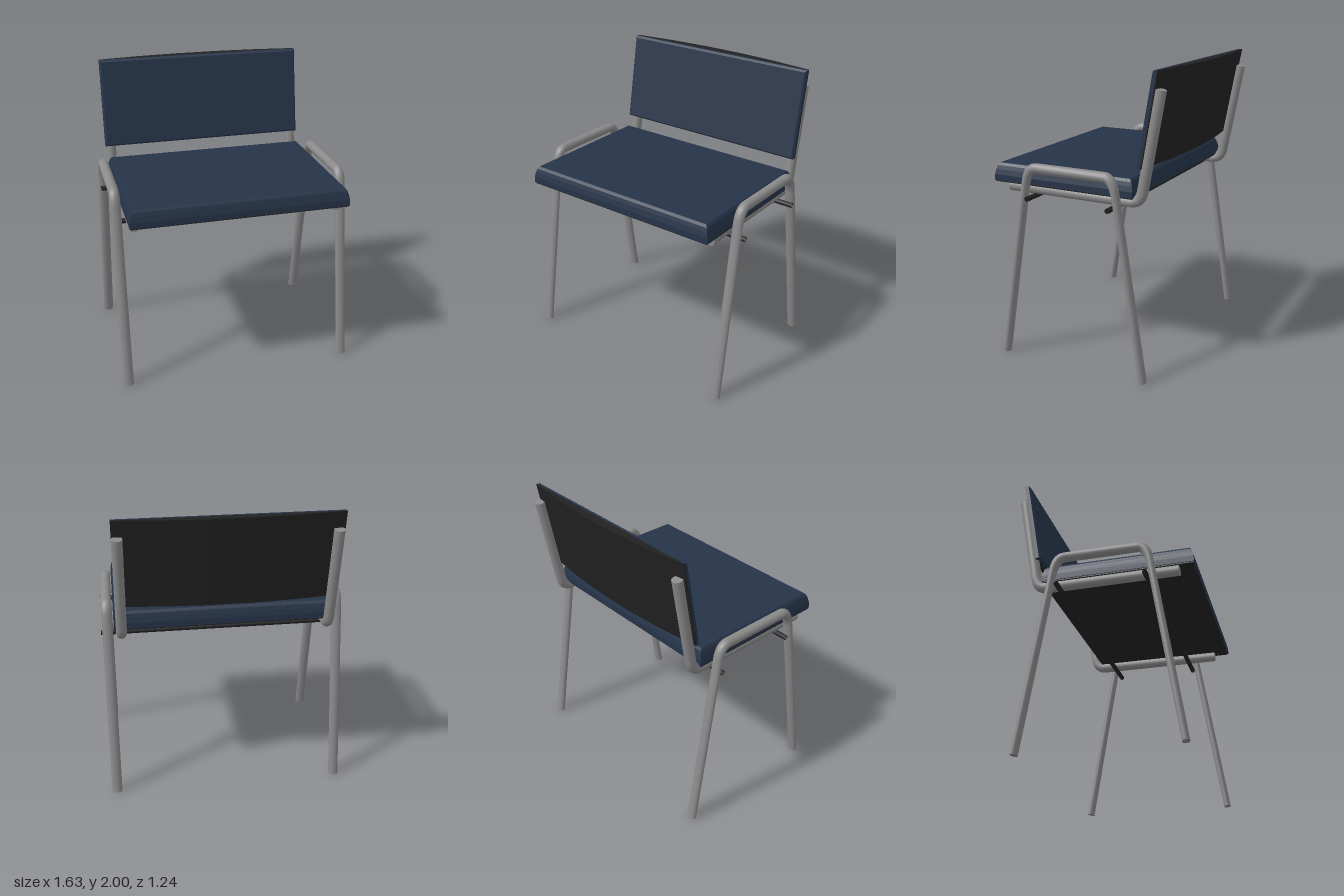
import * as THREE from 'three';

const navy = new THREE.MeshStandardMaterial({ color: 0x263449 });
navy.name = 'navy upholstery';
const black = new THREE.MeshStandardMaterial({ color: 0x222222, side: THREE.DoubleSide });
black.name = 'black plastic';
const grey = new THREE.MeshStandardMaterial({ color: 0x8a8a8a });
grey.name = 'grey steel';

const CENTRE = -0.007; // middle of the frame in x
const LEAN = 0.178; // backward lean of the backrest per unit of height

function add(parent, name, geometry, material, x = 0, y = 0, z = 0) {
  const mesh = new THREE.Mesh(geometry, material);
  mesh.name = name;
  mesh.position.set(x, y, z);
  parent.add(mesh);
  return mesh;
}

// Capped tube along a path of (z, y) points; depth(y) is its radius within the path's plane
function bentTube(path, width, depth, sides = 16) {
  const pts = path.getPoints(8);
  const pos = [], idx = [], rings = [];
  const ring = (i) => {
    const p = pts[i], dir = new THREE.Vector2();
    if (i > 0) dir.add(p.clone().sub(pts[i - 1]).normalize());
    if (i < pts.length - 1) dir.add(pts[i + 1].clone().sub(p).normalize());
    dir.normalize();
    const start = pos.length / 3, d = depth(p.y);
    for (let k = 0; k < sides; k++) {
      const a = (k / sides) * Math.PI * 2, n = Math.sin(a) * d;
      pos.push(Math.cos(a) * width, p.y + dir.x * n, p.x - dir.y * n);
    }
    return start;
  };
  pts.forEach((p, i) => rings.push(ring(i)));
  for (let i = 0; i < rings.length - 1; i++) {
    for (let k = 0; k < sides; k++) {
      const n = (k + 1) % sides;
      const a = rings[i] + k, b = rings[i] + n, c = rings[i + 1] + n, e = rings[i + 1] + k;
      idx.push(a, b, c, a, c, e);
    }
  }
  const first = ring(0), last = ring(pts.length - 1);
  for (let k = 1; k < sides - 1; k++) {
    idx.push(first, first + k + 1, first + k, last, last + k, last + k + 1);
  }
  const g = new THREE.BufferGeometry();
  g.setAttribute('position', new THREE.Float32BufferAttribute(pos, 3));
  g.setIndex(idx);
  g.computeVertexNormals();
  return g;
}

// Cushion facing +z, made from rectangles given as [inset, z]
function cushion(w, h, layers) {
  const pos = [], idx = [];
  for (const [inset, z] of layers) {
    const x = w / 2 - inset, y = h / 2 - inset;
    pos.push(-x, -y, z, x, -y, z, x, y, z, -x, y, z);
  }
  for (let i = 0; i < layers.length - 1; i++) {
    for (let k = 0; k < 4; k++) {
      const a = i * 4 + k, b = i * 4 + ((k + 1) % 4);
      idx.push(a, b, b + 4, a, b + 4, a + 4);
    }
  }
  const t = (layers.length - 1) * 4;
  idx.push(0, 2, 1, 0, 3, 2, t, t + 1, t + 2, t, t + 2, t + 3);
  const g = new THREE.BufferGeometry();
  g.setAttribute('position', new THREE.Float32BufferAttribute(pos, 3));
  g.setIndex(idx);
  const flat = g.toNonIndexed();
  flat.computeVertexNormals();
  return flat;
}

// Shear a geometry so that it leans backward with height
function lean(g) {
  const p = g.attributes.position;
  for (let i = 0; i < p.count; i++) p.setZ(i, p.getZ(i) - LEAN * p.getY(i));
  g.computeVertexNormals();
  return g;
}

export function createModel() {
  const chair = new THREE.Group();
  chair.name = 'chair';

  // Seat cushion and its base board
  const seat = cushion(1.465, 1.025, [[0, 0], [0, 0.04], [0.008, 0.075], [0.016, 0.1], [0.028, 0.117]]);
  seat.rotateX(-Math.PI / 2);
  add(chair, 'seatCushion', seat, navy, -0.003, 1.21, 0.103);
  add(chair, 'seatBoard', new THREE.BoxGeometry(1.455, 0.008, 1.015), black, -0.003, 1.206, 0.103);

  // Backrest: flat front pad and a bowed rear shell
  const back = new THREE.Group();
  back.name = 'backrest';
  back.position.set(-0.012, 1.6975, -0.476);
  chair.add(back);
  const pad = lean(cushion(1.455, 0.605, [[0, -0.03], [0, -0.012], [0.012, 0]]));
  add(back, 'backrestPad', pad, navy);

  const half = 0.7275;
  const outline = new THREE.Shape();
  outline.moveTo(-half, 0.03);
  for (const x of [-half, -0.43, -0.145, 0.145, 0.43, half]) {
    outline.lineTo(x, 0.038 + 0.055 * (1 - (x / half) ** 2));
  }
  outline.lineTo(half, 0.03);
  const shell = new THREE.ExtrudeGeometry(outline, { depth: 0.605, bevelEnabled: false });
  shell.translate(0, 0, -0.3025);
  shell.rotateX(-Math.PI / 2);
  add(back, 'backrestShell', lean(shell), black);

  // Tubes that run under the seat and up behind the backrest
  const rail = new THREE.Path();
  rail.moveTo(0.515, 1.177);
  rail.lineTo(-0.38, 1.177);
  rail.quadraticCurveTo(-0.447, 1.177, -0.46, 1.26);
  rail.lineTo(-0.573, 1.885);
  // Side legs, each a single bent hoop with flattened uprights
  const hoop = new THREE.Path();
  hoop.moveTo(0.54, 0.005);
  hoop.lineTo(0.342, 1.22);
  hoop.quadraticCurveTo(0.322, 1.337, 0.26, 1.337);
  hoop.lineTo(-0.235, 1.337);
  hoop.quadraticCurveTo(-0.297, 1.337, -0.315, 1.22);
  hoop.lineTo(-0.508, 0.005);
  const hoopDepth = (y) => THREE.MathUtils.lerp(0.024, 0.033, THREE.MathUtils.smoothstep(y, 1.2, 1.337));

  for (const [side, s] of [['left', 1], ['right', -1]]) {
    add(chair, side + 'SeatRail', bentTube(rail, 0.035, () => 0.036), grey, CENTRE + s * 0.688);
    add(chair, side + 'LegHoop', bentTube(hoop, 0.035, hoopDepth), grey, CENTRE + s * 0.778);
  }

  // Hollow cross rods under the seat
  for (const [name, z] of [['frontCrossRod', 0.311], ['rearCrossRod', -0.279]]) {
    const rod = new THREE.CylinderGeometry(0.017, 0.017, 1.62, 12, 1, true);
    rod.rotateZ(Math.PI / 2);
    add(chair, name, rod, black, 0.005, 1.135, z);
  }
  return chair;
}
